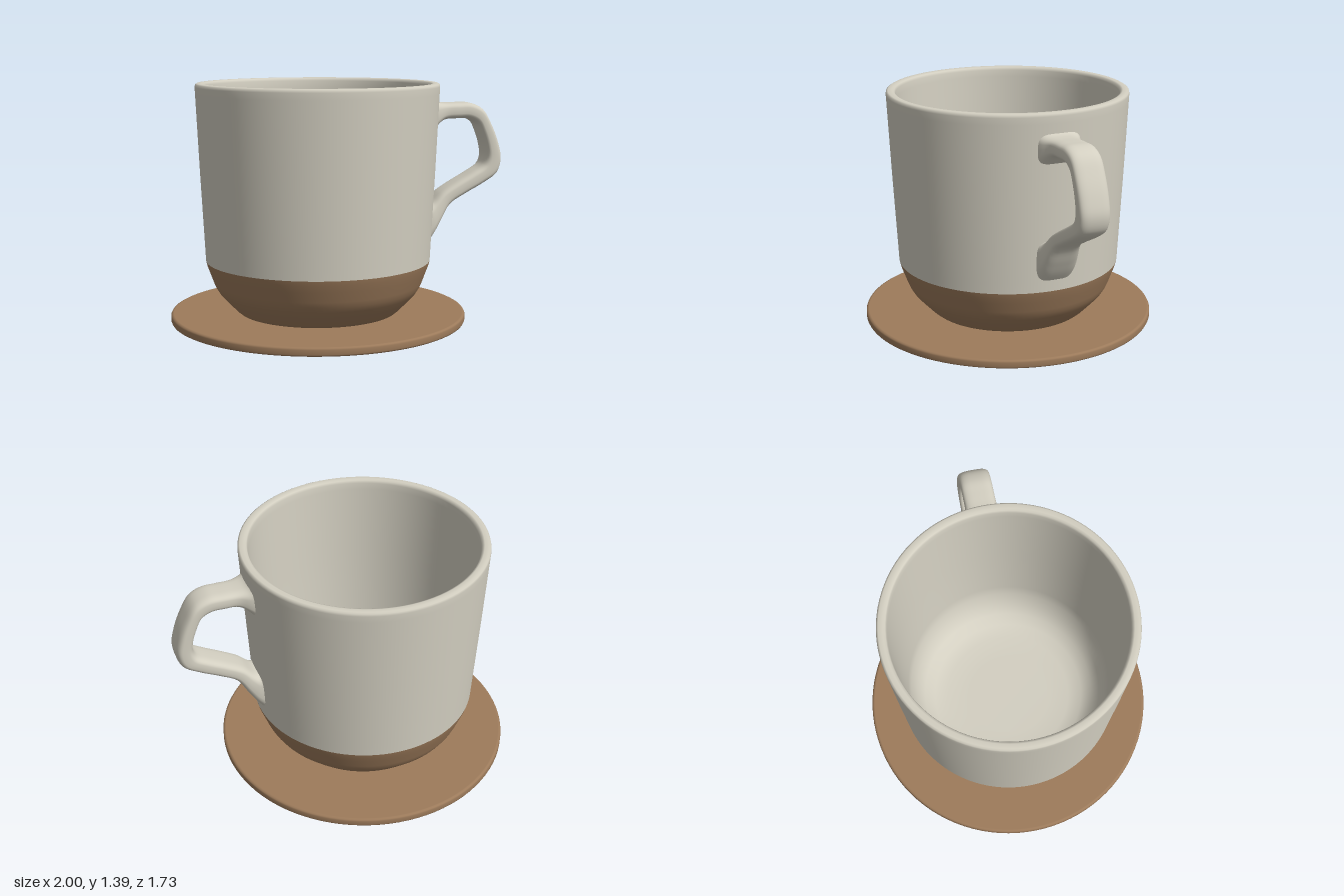
import * as THREE from 'three';

const CUP_X = -0.133;

// Surface of revolution from [radius, height] pairs, bottom outside first
function lathe(name, pairs, material) {
  const points = pairs.map(([r, y]) => new THREE.Vector2(r, y));
  const mesh = new THREE.Mesh(new THREE.LatheGeometry(points, 96), material);
  mesh.name = name;
  mesh.position.x = CUP_X;
  return mesh;
}

// Rounded-rectangle sections swept between an outer and an inner edge curve
function handleGeometry() {
  // outer x, outer y, inner x, inner y, half width in z
  const stations = [
    [0.54, 1.30, 0.535, 1.07, 0.135],
    [0.575, 1.272, 0.57, 1.115, 0.12],
    [0.63, 1.262, 0.63, 1.16, 0.094],
    [0.72, 1.262, 0.715, 1.167, 0.09],
    [0.80, 1.26, 0.785, 1.165, 0.09],
    [0.875, 1.225, 0.84, 1.135, 0.09],
    [0.935, 1.13, 0.868, 1.08, 0.09],
    [0.98, 1.02, 0.895, 0.995, 0.09],
    [1.0, 0.92, 0.90, 0.93, 0.09],
    [0.975, 0.835, 0.88, 0.885, 0.09],
    [0.89, 0.775, 0.81, 0.84, 0.09],
    [0.77, 0.712, 0.71, 0.785, 0.09],
    [0.67, 0.65, 0.62, 0.73, 0.092],
    [0.61, 0.55, 0.56, 0.675, 0.105],
    [0.565, 0.475, 0.535, 0.665, 0.115],
    [0.51, 0.40, 0.505, 0.69, 0.12],
  ];
  const outer = new THREE.CatmullRomCurve3(stations.map(s => new THREE.Vector3(s[0], s[1], s[4])));
  const inner = new THREE.CatmullRomCurve3(stations.map(s => new THREE.Vector3(s[2], s[3], s[4])));
  const steps = 75, sides = 32, positions = [], index = [];
  const round = v => Math.sign(v) * Math.pow(Math.abs(v), 0.6);
  for (let j = 0; j <= steps; j++) {
    const o = outer.getPoint(j / steps), i = inner.getPoint(j / steps);
    for (let k = 0; k < sides; k++) {
      const a = (k / sides) * Math.PI * 2;
      const t = 0.5 + 0.5 * round(Math.cos(a));
      positions.push(i.x + (o.x - i.x) * t, i.y + (o.y - i.y) * t, o.z * round(Math.sin(a)));
      if (j < steps) {
        const p = j * sides + k, q = j * sides + (k + 1) % sides;
        index.push(p, q, p + sides, q, q + sides, p + sides);
      }
    }
  }
  const geometry = new THREE.BufferGeometry();
  geometry.setAttribute('position', new THREE.Float32BufferAttribute(positions, 3));
  geometry.setIndex(index);
  geometry.computeVertexNormals();
  return geometry;
}

export function createModel() {
  const glaze = new THREE.MeshStandardMaterial({ color: 0xd3cfc1 });
  glaze.name = 'cream glaze';
  const clay = new THREE.MeshStandardMaterial({ color: 0x9d7b5b });
  clay.name = 'brown clay';
  const group = new THREE.Group();
  group.name = 'mugOnCoaster';

  // Flat round coaster with softened edges
  group.add(lathe('coaster', [
    [0, 0], [0.85, 0], [0.855, 0], [0.863, 0.004], [0.867, 0.012],
    [0.867, 0.038], [0.863, 0.046], [0.855, 0.05], [0.85, 0.05], [0, 0.05],
  ], clay));

  // Unglazed tapered foot
  group.add(lathe('cupBase', [
    [0.44, 0.049], [0.468, 0.052], [0.49, 0.07], [0.54, 0.122], [0.58, 0.165],
    [0.602, 0.2], [0.615, 0.23], [0.637, 0.29], [0.652, 0.33], [0.659, 0.358],
  ], clay));

  // Glazed outer wall, rim, inner wall and floor
  group.add(lathe('cupBody', [
    [0.659, 0.358], [0.662, 0.42], [0.685, 0.87], [0.706, 1.33], [0.708, 1.37],
    [0.705, 1.384], [0.695, 1.39], [0.67, 1.39], [0.658, 1.385], [0.652, 1.37],
    [0.65, 1.33], [0.629, 0.87], [0.608, 0.42], [0.596, 0.34], [0.565, 0.25],
    [0.52, 0.185], [0.46, 0.145], [0.38, 0.125], [0.25, 0.12], [0, 0.12],
  ], glaze));

  // Handle flaring into the wall at both ends
  const handle = new THREE.Mesh(handleGeometry(), glaze);
  handle.name = 'handle';
  group.add(handle);
  return group;
}
